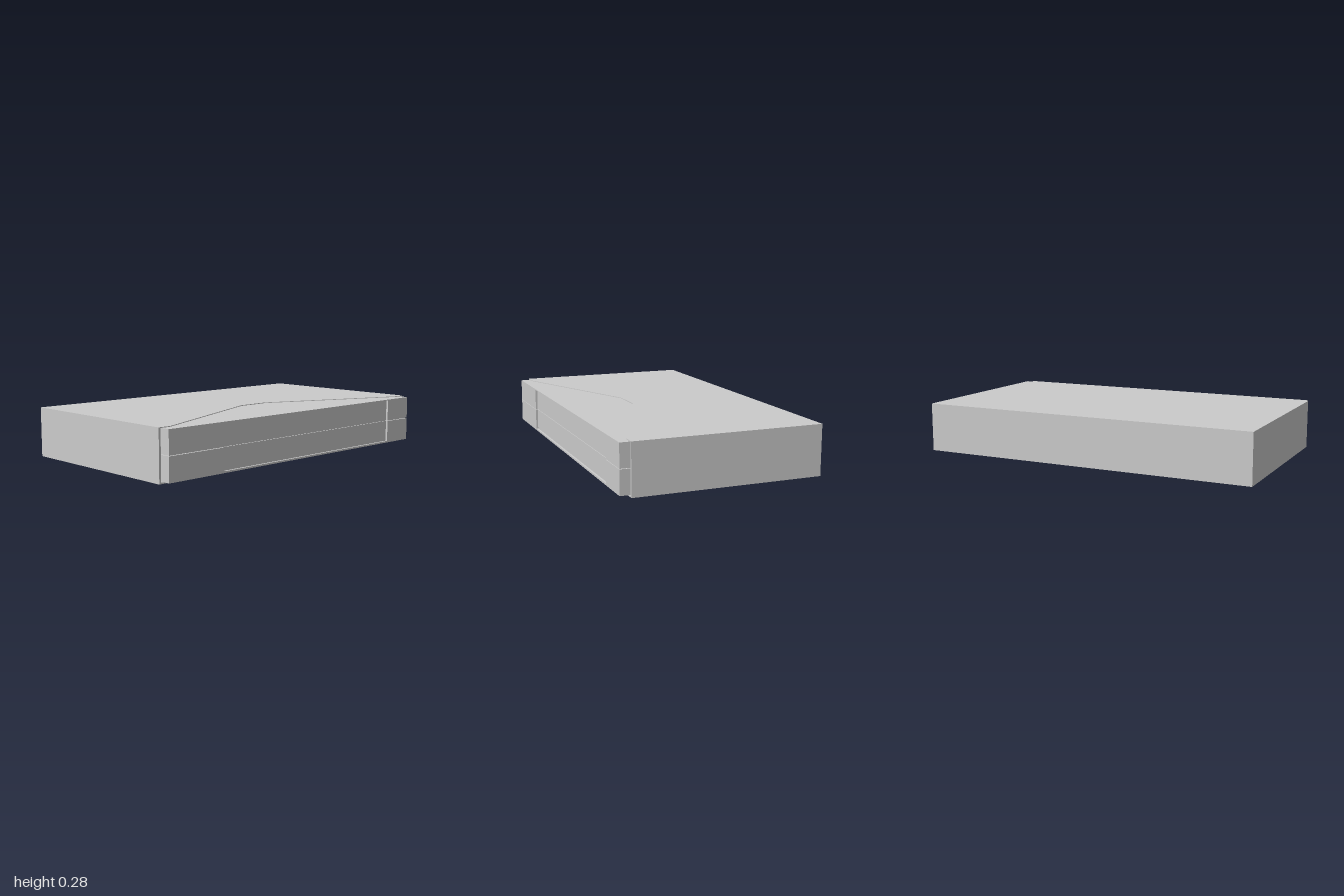
import * as THREE from 'three';

const material = new THREE.MeshStandardMaterial({ color: 0xcccccc, flatShading: true });

// Extrudes a plan outline of [x, z] points between two heights.
function slab(name, outline, y0, y1) {
  const shape = new THREE.Shape(outline.map(([x, z]) => new THREE.Vector2(x, z)));
  const geometry = new THREE.ExtrudeGeometry(shape, { depth: y1 - y0, bevelEnabled: false });
  geometry.rotateX(Math.PI / 2).translate(0, y1, 0);
  const mesh = new THREE.Mesh(geometry, material);
  mesh.name = name;
  return mesh;
}

function rect(x0, x1, z0, z1) {
  return [[x0, z0], [x1, z0], [x1, z1], [x0, z1]];
}

const BACK = -0.565, MOUTH = 0.51, FRONT = 0.565;
const HEIGHT = 0.285, WALL = 0.012, TOP = 0.004, BOTTOM = 0.008;

// Open-sided sleeve with an angled thumb cut-out in both broad panels
function createSleeve() {
  const sleeve = new THREE.Group();
  sleeve.name = 'sleeve';
  const panel = [
    [BACK, -1], [MOUTH, -1], [MOUTH, -0.925], [0.163, -0.1],
    [0.163, 0.1], [MOUTH, 0.925], [MOUTH, 1], [BACK, 1],
  ];
  const low = BOTTOM, high = HEIGHT - TOP;
  sleeve.add(
    slab('sleeveTop', panel, high, HEIGHT),
    slab('sleeveBottom', panel, 0, low),
    slab('sleeveBack', rect(BACK, BACK + WALL, -1, 1), low, high),
  );
  for (const side of [-1, 1]) {
    const z = [side, side * (1 - WALL)].sort((a, b) => a - b);
    sleeve.add(slab(side > 0 ? 'sleeveFrontEnd' : 'sleeveRearEnd',
      rect(BACK + WALL, MOUTH, z[0], z[1]), low, high));
  }
  return sleeve;
}

// Two-part case inside the sleeve, with a shallow label recess on its spine
function createCase() {
  const box = new THREE.Group();
  box.name = 'innerCase';
  const back = BACK + WALL + 0.004, end = 0.982, floor = FRONT - 0.012;
  const full = rect(back, FRONT, -end, end);
  const recessed = [
    [back, -end], [FRONT, -end], [FRONT, -0.78], [floor, -0.78],
    [floor, 0.61], [FRONT, 0.61], [FRONT, end], [back, end],
  ];
  box.add(
    slab('lowerRim', full, 0.011, 0.021),
    slab('lowerHalf', recessed, 0.021, 0.146),
    slab('upperHalf', recessed, 0.149, 0.275),
    slab('upperRim', full, 0.275, 0.2805),
    // recessed seam between the halves
    slab('seam', rect(back + 0.01, floor - 0.008, -end + 0.01, end - 0.01), 0.146, 0.149),
  );
  return box;
}

export function createModel() {
  const model = new THREE.Group();
  model.name = 'sleevedCase';
  model.add(createSleeve(), createCase());
  return model;
}
